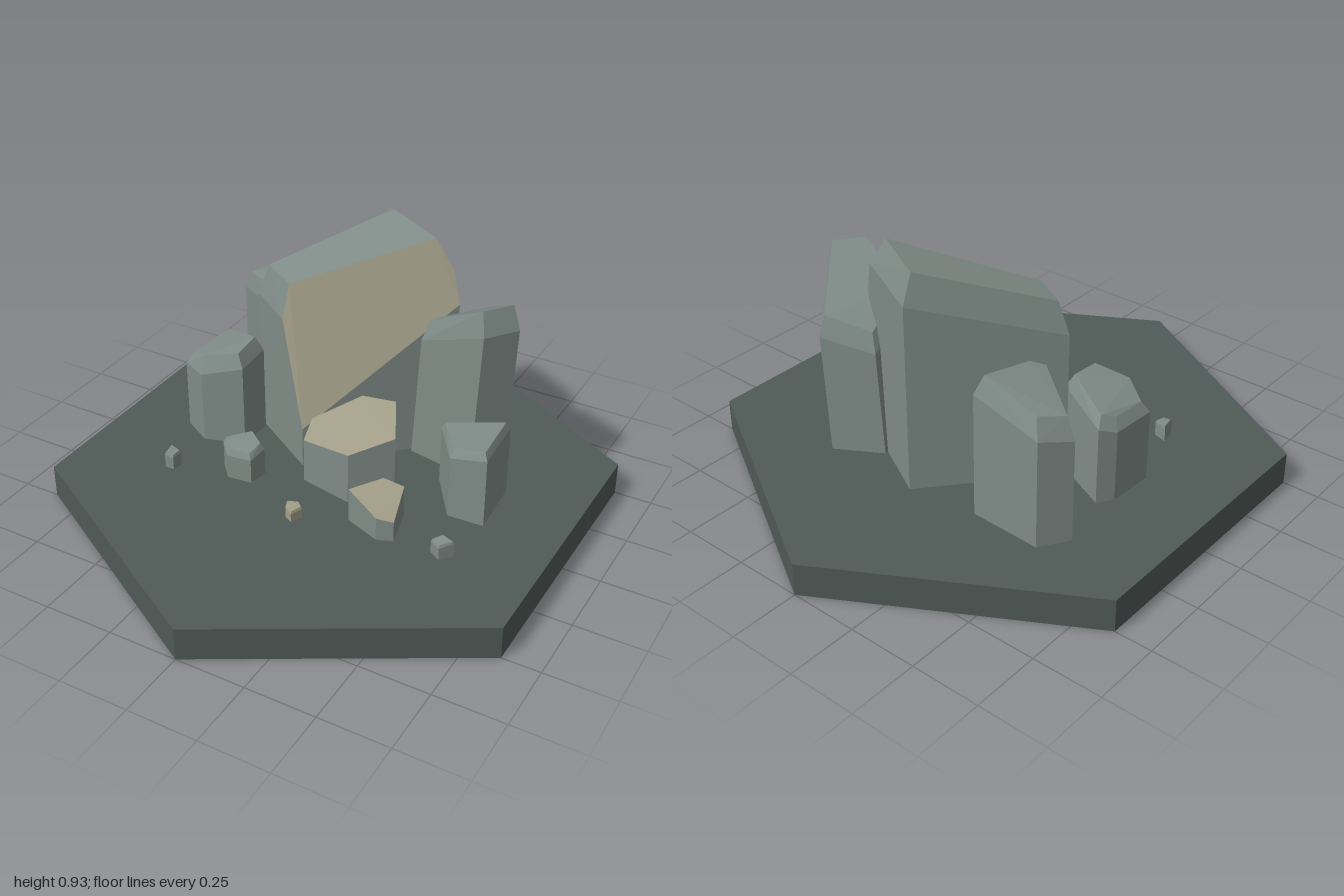
import * as THREE from 'three';
import { ConvexGeometry } from 'three/addons/geometries/ConvexGeometry.js';

const material = (name, color) => {
  const m = new THREE.MeshStandardMaterial({ color });
  m.name = name;
  return m;
};

const GROUND = 0.14; // underside of every stone
const V = (x, y, z) => new THREE.Vector3(x, y, z);

// Angular stone: corners are [x, z, shoulder height, top height].
// The top ring is drawn in by `inset`; the foot may be shifted to lean the stone.
function stonePoints(corners, inset = 0, lean = 0) {
  const cx = corners.reduce((s, c) => s + c[0], 0) / corners.length;
  const cz = corners.reduce((s, c) => s + c[1], 0) / corners.length;
  const points = [];
  for (const [x, z, shoulder, top] of corners) {
    const d = Math.hypot(x - cx, z - cz);
    const k = 1 - inset / d;
    points.push(V(x + lean, GROUND, z));
    if (inset) points.push(V(x, shoulder, z));
    points.push(V(cx + (x - cx) * k, top, cz + (z - cz) * k));
  }
  return points;
}

// Hull of the points; faces whose normal passes the test take the second material.
function hullMesh(name, points, materials, isSecond) {
  const geometry = new ConvexGeometry(points);
  const mesh = new THREE.Mesh(geometry, materials);
  mesh.name = name;
  if (isSecond) {
    const normals = geometry.attributes.normal;
    const n = V(0, 0, 0);
    for (let i = 0; i < normals.count; i += 3) {
      n.fromBufferAttribute(normals, i);
      geometry.addGroup(i, 3, isSecond(n) ? 1 : 0);
    }
  }
  return mesh;
}

export function createModel() {
  const group = new THREE.Group();
  group.name = 'rockFormation';
  const ground = material('dark slate', 0x505a57);
  const rock = material('grey green rock', 0x7f8c87);
  const sand = material('sandy rock', 0xa19d87);

  // Hexagonal base tile
  const tile = new THREE.CylinderGeometry(1, 1, 0.12, 6).toNonIndexed();
  tile.computeVertexNormals();
  const base = new THREE.Mesh(tile, ground);
  base.name = 'hexBase';
  base.position.y = 0.06;
  group.add(base);

  // Main boulder with a slanted sandy cut face
  const cutNormal = V(0.506, 0.296, 0.81).normalize();
  group.add(hullMesh('mainBoulder', [
    // foot
    V(-0.37, GROUND, -0.1), V(-0.09, GROUND, 0.08), V(0.305, GROUND, -0.315), V(-0.03, GROUND, -0.5),
    // shoulder on the uncut sides
    V(-0.37, 0.67, -0.1), V(-0.03, 0.82, -0.5),
    // outline of the cut face
    V(-0.205, 0.66, 0.01), V(-0.09, 0.29, 0.08), V(0.305, 0.7, -0.315), V(0.27, 0.81, -0.337),
    // top
    V(-0.33, 0.785, -0.11), V(-0.2, 0.78, -0.03), V(0.2, 0.92, -0.33), V(-0.03, 0.925, -0.46),
  ], [rock, sand], (n) => n.dot(cutNormal) > 0.97));

  // Grey stones with chamfered tops: name, inset, lean, corners
  const greyStones = [
    ['tallRightStone', 0.03, -0.025, [
      [0.36, -0.495, 0.57, 0.64], [0.555, -0.25, 0.7, 0.785], [0.475, -0.14, 0.7, 0.785],
      [0.225, -0.19, 0.6, 0.68], [0.2, -0.4, 0.52, 0.59]]],
    ['backLeftStone', 0.035, 0, [
      [-0.54, -0.475, 0.53, 0.6], [-0.28, -0.465, 0.59, 0.66], [-0.31, -0.23, 0.57, 0.635],
      [-0.36, -0.19, 0.56, 0.62], [-0.605, -0.375, 0.51, 0.585]]],
    ['leftStone', 0.03, 0, [
      [-0.545, -0.17, 0.42, 0.46], [-0.34, -0.075, 0.46, 0.51], [-0.34, 0.065, 0.45, 0.5],
      [-0.485, 0.11, 0.41, 0.475], [-0.59, 0.05, 0.4, 0.44], [-0.58, -0.115, 0.4, 0.44]]],
    ['rightStone', 0.02, 0, [
      [0.365, -0.08, 0.355, 0.385], [0.595, -0.13, 0.4, 0.425],
      [0.61, 0.09, 0.395, 0.42], [0.48, 0.095, 0.37, 0.4]]],
    ['smallStone', 0.015, 0, [
      [-0.25, 0.14, 0.25, 0.275], [-0.18, 0.185, 0.24, 0.265], [-0.19, 0.26, 0.23, 0.25],
      [-0.28, 0.27, 0.23, 0.255], [-0.33, 0.215, 0.24, 0.265]]],
    ['leftPebble', 0.005, 0, [
      [-0.515, 0.27, 0.19, 0.2], [-0.465, 0.285, 0.19, 0.2],
      [-0.47, 0.325, 0.185, 0.195], [-0.505, 0.325, 0.19, 0.2]]],
    ['rightPebble', 0.005, 0, [
      [0.545, 0.265, 0.19, 0.2], [0.595, 0.285, 0.19, 0.2],
      [0.56, 0.325, 0.185, 0.195], [0.52, 0.3, 0.185, 0.195]]],
  ];
  for (const [name, inset, lean, corners] of greyStones) {
    group.add(hullMesh(name, stonePoints(corners, inset, lean), rock));
  }

  // Low stones with plain sandy tops
  const flatStones = [
    ['flatStone', [
      [0.065, -0.07, 0, 0.395], [0.195, -0.07, 0, 0.41], [0.28, 0.095, 0, 0.38],
      [0.155, 0.195, 0, 0.33], [-0.04, 0.155, 0, 0.305], [-0.065, 0.055, 0, 0.33]]],
    ['lowWedgeStone', [
      [0.28, 0.175, 0, 0.272], [0.355, 0.17, 0, 0.26], [0.39, 0.31, 0, 0.215],
      [0.335, 0.33, 0, 0.225], [0.205, 0.28, 0, 0.265]]],
  ];
  for (const [name, corners] of flatStones) {
    group.add(hullMesh(name, stonePoints(corners), [rock, sand], (n) => n.y > 0.7));
  }

  // Sandy pebble
  group.add(hullMesh('sandyPebble', stonePoints([
    [0.005, 0.345, 0.18, 0.19], [0.045, 0.33, 0.18, 0.19], [0.065, 0.345, 0.175, 0.185],
    [0.045, 0.385, 0.17, 0.18], [0.015, 0.37, 0.18, 0.19]], 0.004), sand));

  return group;
}
